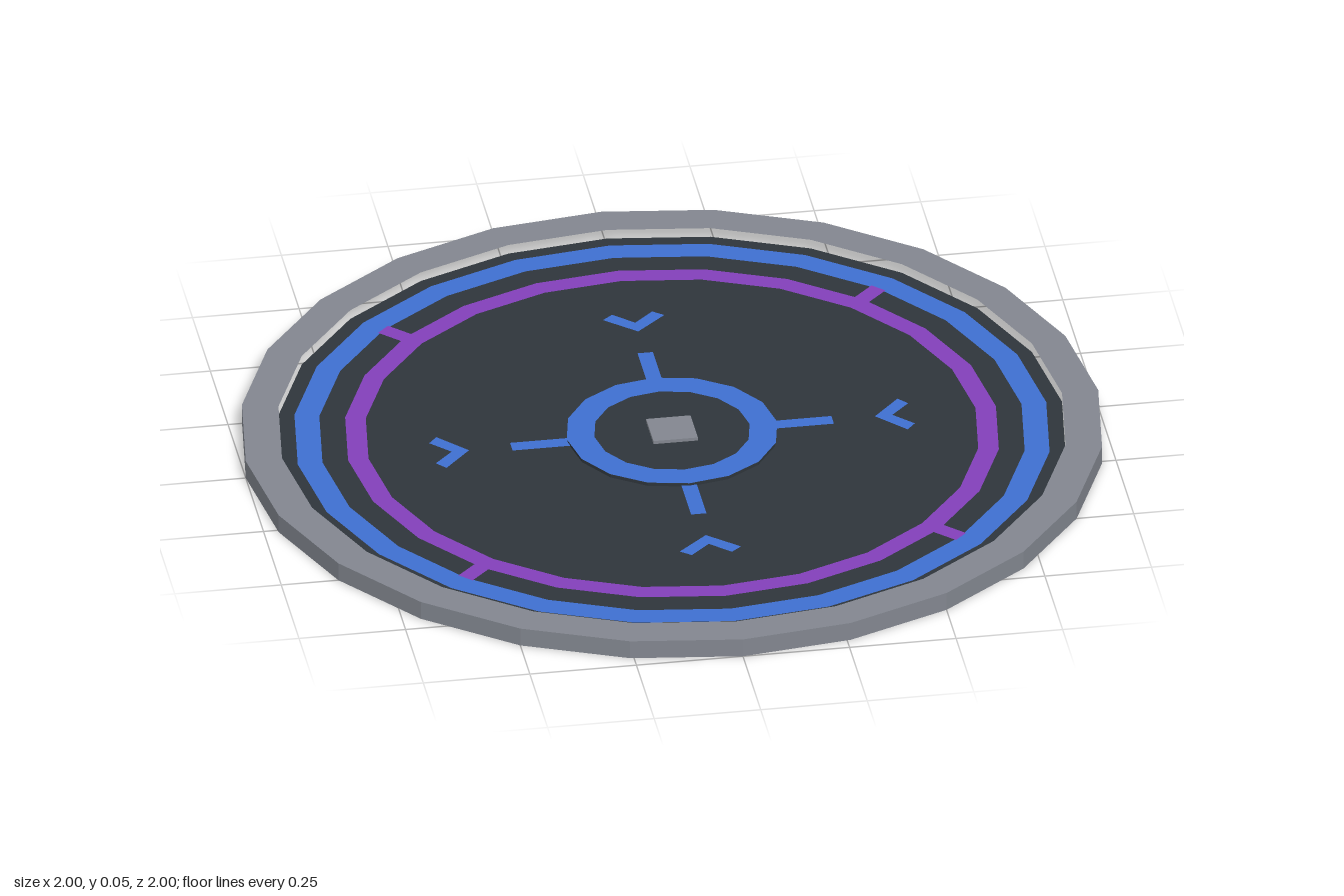
import * as THREE from 'three';

export function createModel() {
  const model = new THREE.Group();
  model.name = 'floorPad';

  const mat = (name, color, extra = {}) => {
    const m = new THREE.MeshStandardMaterial({ color, flatShading: true, ...extra });
    m.name = name;
    return m;
  };
  const grey = mat('rimGrey', 0x82868f);
  const dark = mat('panelDark', 0x2e353b, { side: THREE.DoubleSide });
  const blue = mat('markBlue', 0x3e6fd0);
  const purple = mat('markPurple', 0x8240ba);

  const SIDES = 24, PANEL_Y = 0.022, MARK_Y = 0.0245, HUB_Y = 0.03;

  const add = (name, geometry, material, y = 0, parent = model) => {
    const mesh = new THREE.Mesh(geometry, material);
    mesh.name = name;
    mesh.position.y = y;
    parent.add(mesh);
    return mesh;
  };
  // Flat faces lying in the ground plane, looking up
  const flat = (geometry) => geometry.rotateX(-Math.PI / 2);
  const band = (inner, outer, sides) => flat(new THREE.RingGeometry(inner, outer, sides));
  const plate = (points) => flat(new THREE.ShapeGeometry(
    new THREE.Shape(points.map(([x, y]) => new THREE.Vector2(x, y)))));

  // Outer rim: upright wall, flat top and an underside sloping up to the inner edge
  const profile = [[1, 0], [1, 0.045], [0.915, 0.045], [1, 0]]
    .map(([r, y]) => new THREE.Vector2(r, y));
  add('rim', new THREE.LatheGeometry(profile, SIDES), grey);

  // Panel inside the rim, with its painted circles
  add('panel', flat(new THREE.CircleGeometry(0.915, SIDES)), dark, PANEL_Y);
  add('outerBlueBand', band(0.82, 0.878, SIDES), blue, MARK_Y);
  add('innerPurpleBand', band(0.712, 0.76, SIDES), purple, MARK_Y);

  // Raised hub with a blue edge and a small square stud
  const hub = new THREE.CylinderGeometry(0.245, 0.245, HUB_Y - PANEL_Y, 16);
  add('hub', hub, dark, (HUB_Y + PANEL_Y) / 2);
  add('hubBand', band(0.182, 0.247, 16), blue, HUB_Y + 0.002);
  add('centreStud', new THREE.BoxGeometry(0.104, 0.008, 0.104), grey, HUB_Y + 0.004);

  // Four-fold markings: spoke, inward chevron and purple tab on the diagonal
  for (let i = 0; i < 4; i++) {
    const quarter = new THREE.Group();
    quarter.name = 'quarterMarks' + (i + 1);
    quarter.rotation.y = i * Math.PI / 2;
    model.add(quarter);

    add('spoke', plate([[-0.018, 0.235], [0.018, 0.235], [0.018, 0.377], [-0.018, 0.377]]),
      blue, MARK_Y, quarter);
    add('chevron', plate([[0, 0.476], [0.072, 0.541], [0.047, 0.562], [0, 0.517],
      [-0.047, 0.562], [-0.072, 0.541]]), blue, MARK_Y, quarter);
    const tab = add('tab', plate([[-0.02, 0.745], [0.02, 0.745], [0.02, 0.822], [-0.02, 0.822]]),
      purple, MARK_Y + 0.001, quarter);
    tab.rotation.y = Math.PI / 4;
  }
  return model;
}
